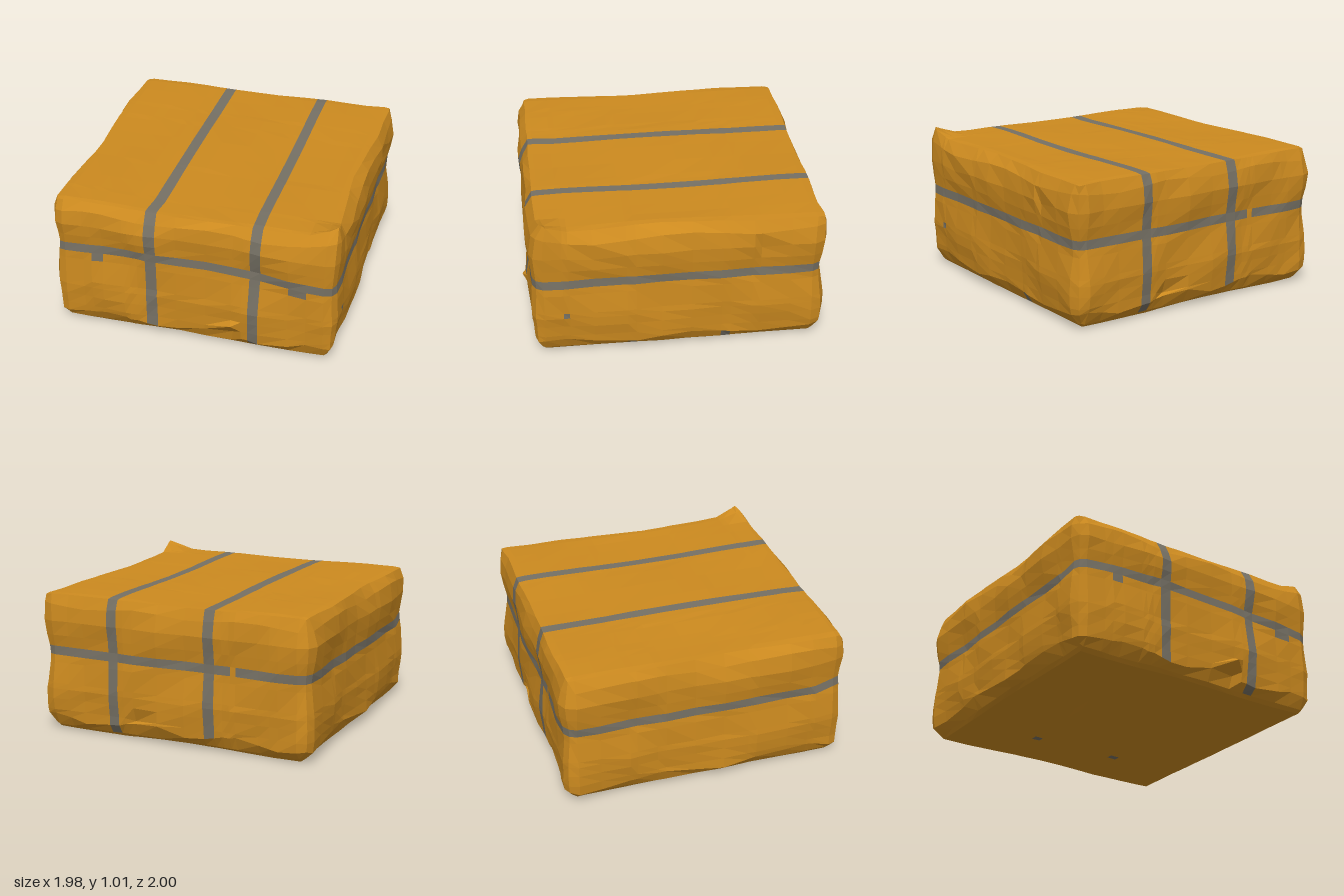
import * as THREE from 'three';

// Grid lines of the parcel; strap edges lie on lines so whole cells can be coloured
const LINES = [
  [-0.96, -0.89, -0.76, -0.7, -0.62, -0.46, -0.42, -0.37, -0.31, -0.235, -0.1, 0.1, 0.28, 0.35, 0.395, 0.465, 0.65, 0.77, 0.885, 0.955],
  [0.02, 0.09, 0.16, 0.24, 0.31, 0.35, 0.49, 0.54, 0.6, 0.68, 0.78, 0.89, 0.96],
  [-0.97, -0.9, -0.75, -0.55, -0.5, -0.36, -0.3, -0.1, 0.1, 0.27, 0.33, 0.55, 0.71, 0.75, 0.875, 0.945],
];
const MIN = LINES.map((l) => l[0]), MAX = LINES.map((l) => l[l.length - 1]), ROUND = 0.07;

// Torn folds and dents: grid point, shift
const PULLS = [
  [[0.28, 0.16, 0.945], [0.01, 0.06, 0.05]],
  [[0.28, 0.09, 0.945], [0.01, 0.01, -0.02]],
  [[0.1, 0.09, -0.97], [0, 0.03, -0.01]],
  [[0.28, 0.16, -0.97], [0, -0.02, 0.03]],
  [[0.955, 0.78, 0.55], [-0.02, -0.02, 0]],
  [[0.955, 0.78, -0.55], [-0.02, -0.02, 0]],
];

// Small repeatable jitter from -0.5 to 0.5
const jitter = (x, y, z, k) => {
  const s = Math.sin(x * 127.1 + y * 311.7 + z * 74.7 + k * 19.3) * 43758.5453;
  return s - Math.floor(s) - 0.5;
};
const hat = (v, centre, width) => Math.max(0, 1 - Math.abs(v - centre) / width);

// Grid point to crumpled surface point
function crumple(p) {
  const [x, y, z] = p;
  const core = p.map((v, i) => Math.min(Math.max(v, MIN[i] + ROUND), MAX[i] - ROUND));
  const dir = new THREE.Vector3(...p.map((v, i) => v - core[i])).normalize();
  const q = new THREE.Vector3(...core).addScaledVector(dir, ROUND);

  // Sides swell above and below the waist strap and tuck in underneath
  const swell = 0.024 * hat(y, 0.77, 0.17) + 0.018 * hat(y, 0.3, 0.25) - 0.002;
  const wave = 0.011 * Math.sin(6.3 * x + 4 * y + 1) * Math.cos(5.2 * z - 7 * y)
    + 0.005 * Math.sin(13 * (x + z) + 9 * y);
  const tuck = y === MIN[1] ? 0.03 : 0;
  const side = swell + wave + 0.006 * jitter(x, y, z, 1) - tuck;
  q.x += dir.x * side;
  q.z += dir.z * side;
  q.y += dir.y * (0.007 * Math.sin(5 * x + 2) * Math.cos(4 * z) + 0.003 * jitter(x, y, z, 2));

  // Uneven folds along the lower rim, crisp edges along the upper one
  if (y === 0.09) q.y += 0.015 + 0.022 * Math.sin(9 * x + 7 * z) + 0.015 * jitter(x, y, z, 3);
  if (y === 0.89) q.y += 0.015 * Math.sin(8 * x - 6 * z);
  if (y === MAX[1]) {
    q.y += 0.02 * (1 - dir.y);
    q.y += 0.04 * Math.min(1 - dir.y, 0.3);
    q.z -= 0.02 * Math.max(dir.z, 0);
    if (x > 0.88) q.x -= 0.04 * hat(z, 0.15, 0.85);
    if (x < -0.88) q.x += 0.02 * hat(z, 0.2, 0.5);
  }

  // Raised front corner and a smaller one behind it
  const peak = hat(x, 0.955, 0.2) * hat(z, 0.945, 0.25) * hat(y, 0.96, 0.12);
  q.add(new THREE.Vector3(0.02, 0.075, -0.045).multiplyScalar(peak));
  const rear = hat(x, 0.955, 0.2) * hat(z, -0.97, 0.2) * hat(y, 0.96, 0.12);
  q.add(new THREE.Vector3(0.015, 0.005, -0.025).multiplyScalar(rear));

  // Waist strap rises across the front; long straps wander a little
  if (z > 0.87) {
    q.y += hat(y, 0.57, 0.35) * Math.min(0.065, 0.1 * hat(x, -0.2, 1.15));
    if (Math.abs(x) < 0.6) q.x += x > 0 ? 0.025 * (y - 0.8) : -0.012;
  }

  for (const [at, shift] of PULLS) {
    if (at.every((v, i) => v === p[i])) q.add(new THREE.Vector3(...shift));
  }
  return q;
}

const within = (v, a, b) => v > a && v < b;

// Whether a cell belongs to a strap
function isStrap(axis, sign, [x, y, z]) {
  const long = within(x, -0.31, -0.235) || within(x, 0.395, 0.465);
  if (axis === 1) {
    const ends = within(z, -0.55, -0.5) && (within(x, -0.37, -0.31) || within(x, 0.28, 0.35));
    return sign > 0 ? long : ends;
  }
  const waist = within(y, 0.54, 0.6);
  if (axis === 0) {
    const scrap = y < 0.09 && (within(z, 0.27, 0.33) || within(z, -0.36, -0.3));
    const spot = within(y, 0.31, 0.35) && within(z, 0.71, 0.75);
    return waist || (sign > 0 && (scrap || spot));
  }
  if (long) return y > 0.09 || x > 0;
  if (sign < 0) return waist && !within(x, -0.46, -0.42);
  const loose = within(y, 0.49, 0.54) && (within(x, -0.7, -0.62) || within(x, 0.65, 0.77));
  return waist || loose;
}

export function createModel() {
  const carton = new THREE.MeshStandardMaterial({ color: 0xcc8a1f });
  carton.name = 'ochre wrapping';
  const band = new THREE.MeshStandardMaterial({ color: 0x757064 });
  band.name = 'grey strap';
  const wrapPts = [], strapPts = [];

  // Six sides, cell by cell
  for (let axis = 0; axis < 3; axis++) {
    for (const sign of [-1, 1]) {
      const a = (axis + 1) % 3, b = (axis + 2) % 3;
      const at = (u, v) => {
        const p = [0, 0, 0];
        p[axis] = sign > 0 ? MAX[axis] : MIN[axis];
        p[a] = u;
        p[b] = v;
        return p;
      };
      for (let i = 0; i < LINES[a].length - 1; i++) {
        for (let j = 0; j < LINES[b].length - 1; j++) {
          const [u0, u1] = LINES[a].slice(i, i + 2), [v0, v1] = LINES[b].slice(j, j + 2);
          const c = [at(u0, v0), at(u1, v0), at(u1, v1), at(u0, v1)].map(crumple);
          if (sign < 0) c.reverse();
          const out = isStrap(axis, sign, at((u0 + u1) / 2, (v0 + v1) / 2)) ? strapPts : wrapPts;
          out.push(c[0], c[1], c[2], c[0], c[2], c[3]);
        }
      }
    }
  }

  // Unshared corners give faceted normals
  const group = new THREE.Group();
  group.name = 'strappedParcel';
  for (const [name, pts, material] of [['wrapping', wrapPts, carton], ['straps', strapPts, band]]) {
    const geometry = new THREE.BufferGeometry().setFromPoints(pts);
    geometry.computeVertexNormals();
    const mesh = new THREE.Mesh(geometry, material);
    mesh.name = name;
    group.add(mesh);
  }
  return group;
}
